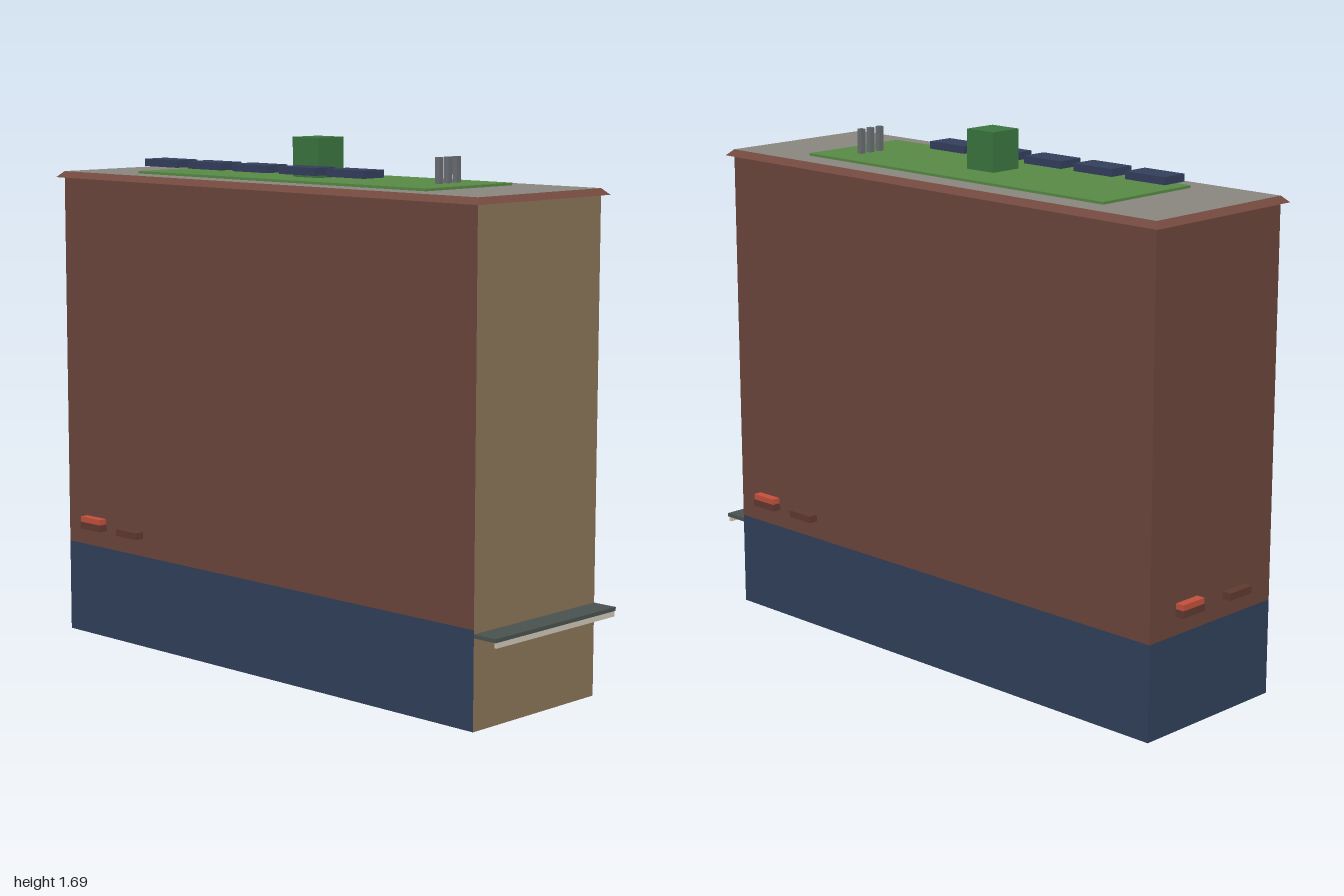
import * as THREE from 'three';

const W = 0.56, L = 1.812, H = 1.557, BASE = 0.305;
const mat = (color) => new THREE.MeshStandardMaterial({ color, flatShading: true, side: THREE.DoubleSide });
const M = {
  brick: mat(0x6b463c), plinth: mat(0x31405a), facade: mat(0x8c7558), trim: mat(0x74493f),
  roof: mat(0x8a857f), lawn: mat(0x578a45), panel: mat(0x333f5c), hut: mat(0x3c7540),
  vent: mat(0x6a6e72), slab: mat(0x4a5250), fascia: mat(0xcfc8b8),
  planter: mat(0x5f3a31), flowers: mat(0xc4503c),
};

function add(parent, name, geometry, material, x = 0, y = 0, z = 0) {
  const mesh = new THREE.Mesh(geometry, material);
  mesh.name = name;
  mesh.position.set(x, y, z);
  parent.add(mesh);
  return mesh;
}

// Box given by its bottom and top heights
function box(parent, name, material, w, d, y0, y1, x = 0, z = 0) {
  return add(parent, name, new THREE.BoxGeometry(w, y1 - y0, d), material, x, (y0 + y1) / 2, z);
}

// Upright wall sheet facing +z
function sheet(parent, name, material, w, y0, y1) {
  return add(parent, name, new THREE.PlaneGeometry(w, y1 - y0), material, 0, (y0 + y1) / 2, 0);
}

// Mitred wedge running round the roof edge
function corniceGeometry(y0, y1, out) {
  const corners = [[-1, 1], [1, 1], [1, -1], [-1, -1]];
  const loop = (y, o) => corners.map(([sx, sz]) => [sx * (W / 2 + o), y, sz * (L / 2 + o)]);
  const loops = [loop(y0, 0), loop(y0, out), loop(y1, 0)];
  const pos = loops.flat(2), index = [];
  for (let r = 0; r < 2; r++) {
    for (let i = 0; i < 4; i++) {
      const j = (i + 1) % 4;
      const a = r * 4 + i, b = r * 4 + j, c = a + 4, d = b + 4;
      index.push(a, b, d, a, d, c);
    }
  }
  const g = new THREE.BufferGeometry();
  g.setAttribute('position', new THREE.Float32BufferAttribute(pos, 3));
  g.setIndex(index);
  const flat = g.toNonIndexed();
  flat.computeVertexNormals();
  return flat;
}

export function createModel() {
  const root = new THREE.Group();
  root.name = 'apartmentBlock';
  const block = new THREE.Group();
  block.name = 'building';
  block.rotation.y = 0.273;
  block.position.z = -0.0275;
  root.add(block);

  // Walls: plain front, and three brick sides on a plinth with window boxes
  const front = new THREE.Group();
  front.name = 'frontWall';
  front.position.z = L / 2;
  block.add(front);
  sheet(front, 'frontFacade', M.facade, W, 0, H);

  const sides = [
    { name: 'leftWall', turn: Math.PI / 2, width: L, dist: W / 2, boxes: [0.14, 0.322] },
    { name: 'backWall', turn: Math.PI, width: W, dist: L / 2, boxes: [0.165, 0.385] },
    { name: 'rightWall', turn: -Math.PI / 2, width: L, dist: W / 2, boxes: [0.14, 0.322] },
  ];
  for (const s of sides) {
    const wall = new THREE.Group();
    wall.name = s.name;
    wall.rotation.y = s.turn;
    wall.position.set(Math.sin(s.turn) * s.dist, 0, Math.cos(s.turn) * s.dist);
    block.add(wall);
    sheet(wall, 'plinth', M.plinth, s.width, 0, BASE);
    sheet(wall, 'brickwork', M.brick, s.width, BASE, H);
    s.boxes.forEach((at, i) => {
      const x = at - s.width / 2;
      box(wall, 'windowBox', M.planter, 0.1, 0.03, 0.364, 0.387, x, 0.015);
      if (i === 0) box(wall, 'flowers', M.flowers, 0.096, 0.028, 0.387, 0.405, x, 0.015);
    });
  }

  // Canopy over the entrance
  box(front, 'canopySlab', M.slab, W, 0.083, 0.281, 0.293, 0, 0.0415);
  box(front, 'canopyFascia', M.fascia, W - 0.01, 0.008, 0.264, 0.281, 0, 0.078);

  // Roof and its edge
  const roof = add(block, 'roof', new THREE.PlaneGeometry(W, L), M.roof, 0, H, 0);
  roof.rotation.x = -Math.PI / 2;
  add(block, 'cornice', corniceGeometry(H - 0.02, H, 0.02), M.trim);

  // Roof garden with hut, solar panels and vents
  box(block, 'lawn', M.lawn, 0.39, 1.265, H, 1.565);
  box(block, 'roofHut', M.hut, 0.113, 0.113, 1.565, 1.69);
  for (let i = 0; i < 5; i++) {
    box(block, 'solarPanel', M.panel, 0.09, 0.155, 1.58, 1.604, -0.12, -0.556 + i * 0.208);
  }
  for (let i = -1; i <= 1; i++) {
    box(block, 'ventPipe', M.vent, 0.018, 0.018, 1.565, 1.645, 0.041 + i * 0.04, 0.509);
  }
  return root;
}
